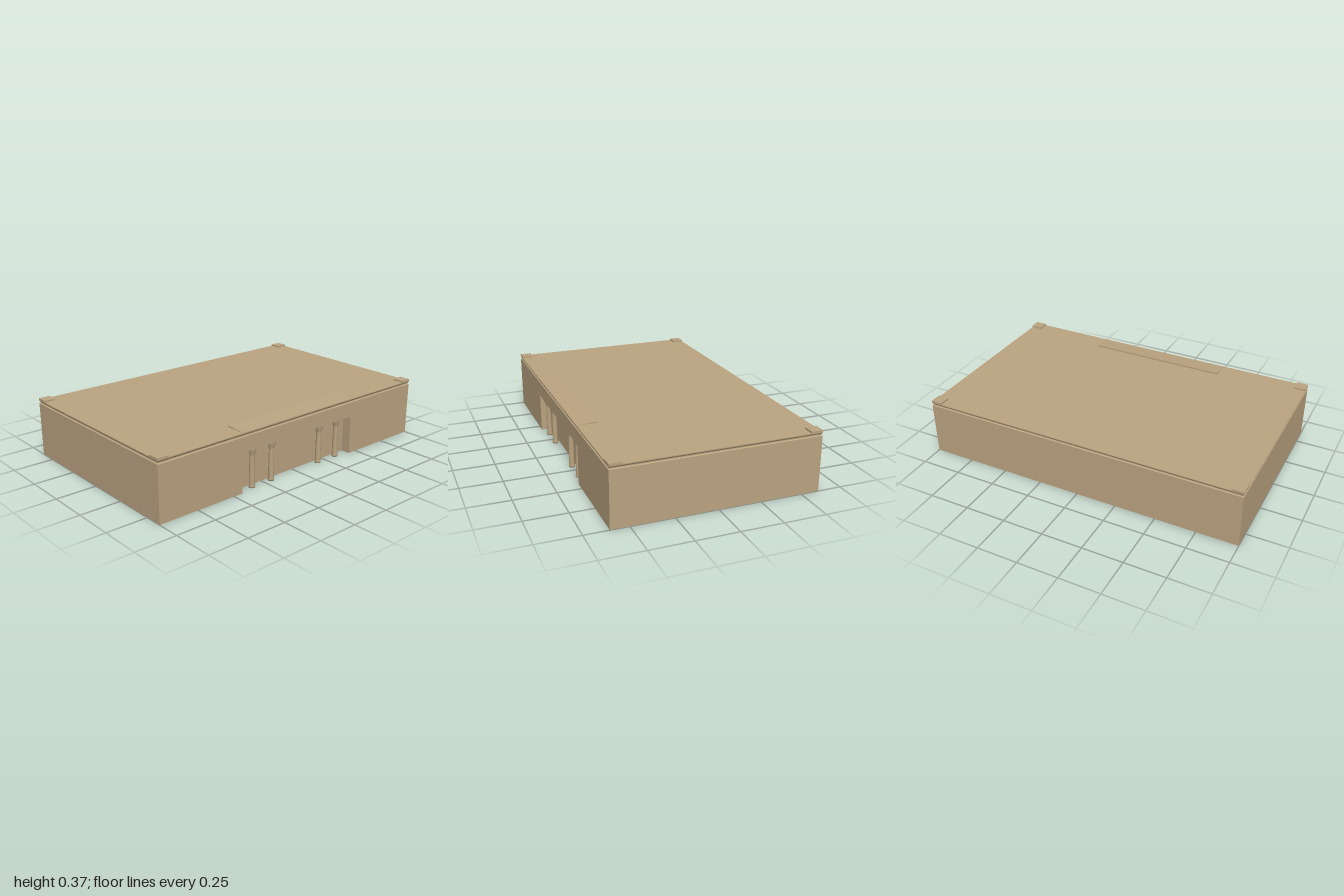
import * as THREE from 'three';

const sandstone = new THREE.MeshStandardMaterial({ color: 0xbaa380, side: THREE.DoubleSide });
sandstone.name = 'sandstone';

const X = 1, Z = 0.608;                 // half width and half depth
const WALL_TOP = 0.332, ROOF = 0.355;
const PORCH_X = 0.44, PORCH_TOP = 0.24, PORCH_BACK = 0.55;

function add(parent, name, geometry, x = 0, y = 0, z = 0) {
  const mesh = new THREE.Mesh(geometry, sandstone);
  mesh.name = name;
  mesh.position.set(x, y, z);
  parent.add(mesh);
  return mesh;
}

// Flat-shaded surface from quads, corners listed counter-clockwise from outside
function quads(list) {
  const pos = [];
  for (const [a, b, c, d] of list) pos.push(...a, ...b, ...c, ...a, ...c, ...d);
  const g = new THREE.BufferGeometry();
  g.setAttribute('position', new THREE.Float32BufferAttribute(pos, 3));
  g.computeVertexNormals();
  return g;
}

// Rectangular ring at height y, inset from the outline
const ring = (inset, y) => [[-1, 1], [1, 1], [1, -1], [-1, -1]]
  .map(([sx, sz]) => [sx * (X - inset), y, sz * (Z - inset)]);

// Side faces between successive rings
function band(rings, sides = [0, 1, 2, 3]) {
  const list = [];
  for (let r = 0; r < rings.length - 1; r++) {
    for (const i of sides) {
      const j = (i + 1) % 4;
      list.push([rings[r][i], rings[r][j], rings[r + 1][j], rings[r + 1][i]]);
    }
  }
  return quads(list);
}

export function createModel() {
  const model = new THREE.Group();
  model.name = 'building';

  // Hollow shell: side and back walls, and a front wall notched for the porch
  add(model, 'sideAndBackWalls', band([ring(0, 0), ring(0, WALL_TOP)], [1, 2, 3]));
  const front = new THREE.Shape([
    [-X, 0], [-PORCH_X, 0], [-PORCH_X, PORCH_TOP], [PORCH_X, PORCH_TOP],
    [PORCH_X, 0], [X, 0], [X, WALL_TOP], [-X, WALL_TOP],
  ].map(([x, y]) => new THREE.Vector2(x, y)));
  add(model, 'frontWall', new THREE.ShapeGeometry(front), 0, 0, Z);

  // Cornice groove under a thin lip, and the roof
  add(model, 'cornice', band([
    ring(0, WALL_TOP), ring(0.006, 0.336), ring(0.006, 0.341), ring(0, 0.35), ring(0, ROOF),
  ]));
  add(model, 'roof', quads([ring(0, ROOF)]));

  // Corner blocks on the roof
  for (const sx of [-1, 1]) {
    for (const sz of [-1, 1]) {
      add(model, 'cornerBlock', new THREE.BoxGeometry(0.07, 0.014, 0.07),
        sx * (X - 0.035), 0.358, sz * (Z - 0.035));
    }
  }

  // Sloping panel over the entrance, rising towards the back
  const ramp = new THREE.Shape([
    new THREE.Vector2(-0.606, 0.354), new THREE.Vector2(-0.487, 0.354),
    new THREE.Vector2(-0.487, 0.365), new THREE.Vector2(-0.606, 0.356),
  ]);
  const rampGeometry = new THREE.ExtrudeGeometry(ramp, { depth: 0.875, bevelEnabled: false });
  rampGeometry.rotateY(Math.PI / 2);
  add(model, 'entranceRoofPanel', rampGeometry, -0.4375);

  // Porch recess
  const porch = new THREE.Group();
  porch.name = 'porch';
  model.add(porch);
  const P = PORCH_X, T = PORCH_TOP, B = PORCH_BACK;
  add(porch, 'porchBackWall', quads([[[-P, 0, B], [P, 0, B], [P, T, B], [-P, T, B]]]));
  add(porch, 'porchSideWalls', quads([
    [[-P, 0, Z], [-P, 0, B], [-P, T, B], [-P, T, Z]],
    [[P, 0, B], [P, 0, Z], [P, T, Z], [P, T, B]],
  ]));
  add(porch, 'porchCeiling', quads([[[-P, T, 0.487], [P, T, 0.487], [P, T, Z], [-P, T, Z]]]));

  // Columns with flared capitals and small bases
  const profile = [
    [0, 0], [0.019, 0], [0.019, 0.008], [0.016, 0.02], [0.0165, 0.1],
    [0.0145, 0.19], [0.016, 0.205], [0.024, 0.225], [0.025, T],
  ].map(([r, y]) => new THREE.Vector2(r, y));
  const column = new THREE.LatheGeometry(profile, 16);
  for (const x of [-0.343, -0.196, 0.191, 0.341]) add(porch, 'column', column, x, 0, 0.578);

  return model;
}
